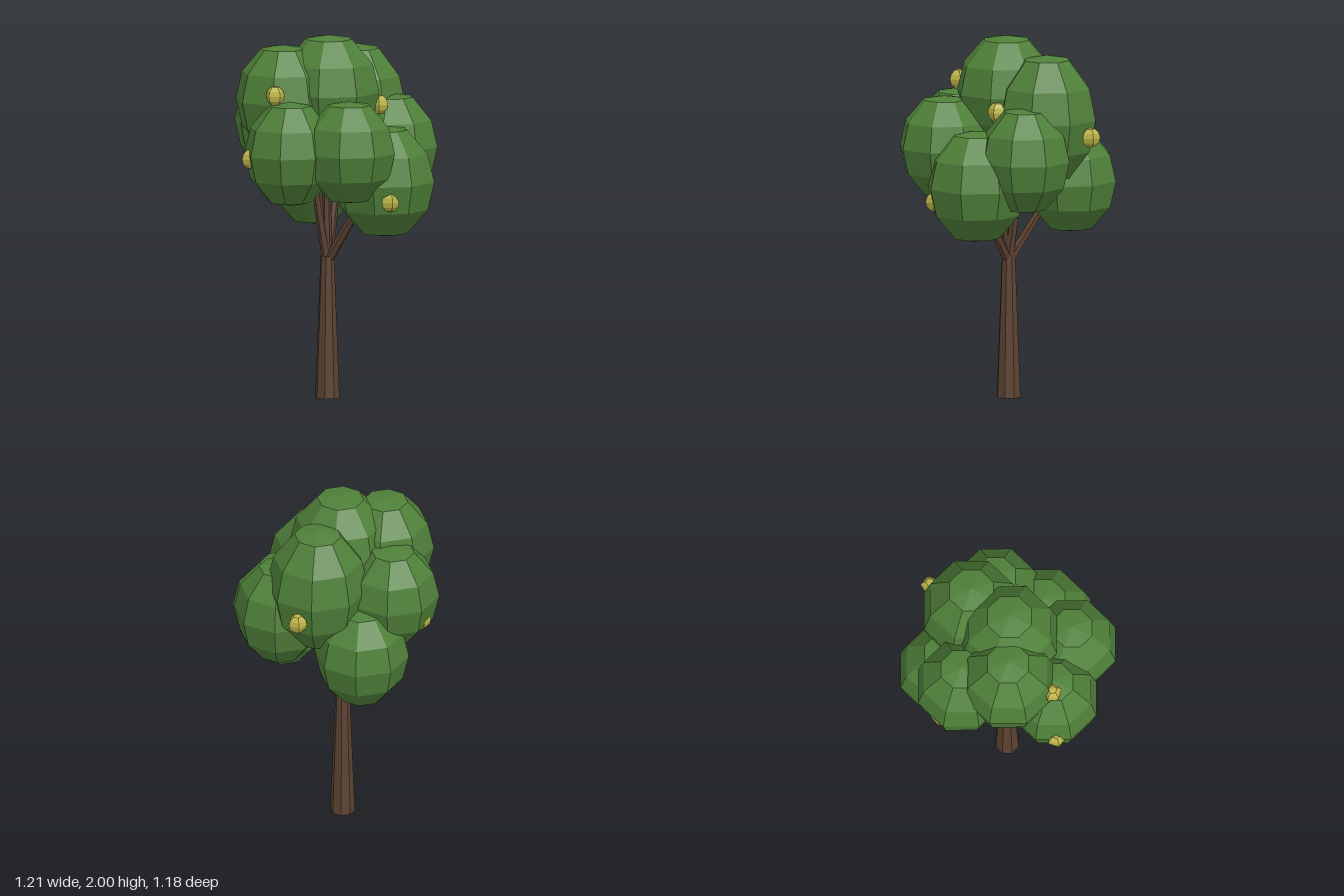
import * as THREE from 'three';

const paint = (color) => new THREE.MeshStandardMaterial({ color, flatShading: true });

// Faceted ball of radius 1 with nearly flat caps
const profile = [[0, -1], [0.46, -0.93], [0.87, -0.5], [1, 0], [0.87, 0.5], [0.46, 0.93], [0, 1]]
  .map(([r, y]) => new THREE.Vector2(r, y));
const facetedBall = (sides) => new THREE.LatheGeometry(profile, sides);

export function createModel() {
  const tree = new THREE.Group();
  tree.name = 'tree';
  const bark = paint(0x5c4332), leaf = paint(0x4f8039), gold = paint(0xbdb548);

  const add = (name, geometry, material) => {
    const mesh = new THREE.Mesh(geometry, material);
    mesh.name = name;
    tree.add(mesh);
    return mesh;
  };

  // Tapered limb between two points
  const limb = (name, from, to, r0, r1, sides) => {
    const a = new THREE.Vector3(...from), b = new THREE.Vector3(...to);
    const dir = b.clone().sub(a);
    const mesh = add(name, new THREE.CylinderGeometry(r1, r0, dir.length(), sides), bark);
    mesh.position.copy(a).addScaledVector(dir, 0.5);
    mesh.quaternion.setFromUnitVectors(new THREE.Vector3(0, 1, 0), dir.normalize());
  };

  // Trunk and the branches that fan out into the crown
  limb('trunk', [-0.017, 0, -0.015], [-0.017, 0.78, -0.015], 0.068, 0.038, 8);
  const fork = [-0.017, 0.75, -0.015];
  [
    [0.08, 1.12, 0.21],
    [0.05, 1.12, -0.24],
    [-0.13, 1.42, -0.03],
    [0.1, 1.42, -0.05],
    [-0.04, 1.42, 0],
  ].forEach((end) => limb('branch', fork, end, 0.028, 0.02, 6));

  // Leaf clumps: centre, horizontal radius, vertical radius
  const clumps = [
    [[-0.015, 1.69, 0], 0.28, 0.31],
    [[-0.1, 1.4, 0.335], 0.255, 0.28],
    [[0.165, 1.215, 0.275], 0.28, 0.305],
    [[-0.345, 1.385, 0.12], 0.255, 0.285],
    [[0.345, 1.37, 0.07], 0.255, 0.29],
    [[-0.245, 1.65, -0.105], 0.265, 0.3],
    [[0.235, 1.57, -0.12], 0.28, 0.35],
    [[-0.12, 1.495, -0.33], 0.255, 0.285],
    [[0.1, 1.195, -0.335], 0.26, 0.285],
  ];
  const leafBall = facetedBall(8);
  for (const [centre, radius, height] of clumps) {
    const clump = add('leafClump', leafBall, leaf);
    clump.position.set(...centre);
    clump.scale.set(radius, height, radius);
  }

  // Small fruits half sunk into the clumps
  const fruitBall = facetedBall(5);
  [
    [-0.42, 1.705, 0.085],
    [0.2, 1.62, 0.165],
    [0.485, 1.49, -0.26],
    [-0.555, 1.365, 0.05],
    [-0.195, 1.37, -0.485],
    [0.07, 1.13, 0.48],
    [0.015, 1.13, 0.1],
  ].forEach((p, i) => {
    const fruit = add('fruit', fruitBall, gold);
    fruit.position.set(...p);
    fruit.scale.setScalar(0.053);
    fruit.rotation.y = i * 0.7;
  });

  return tree;
}
